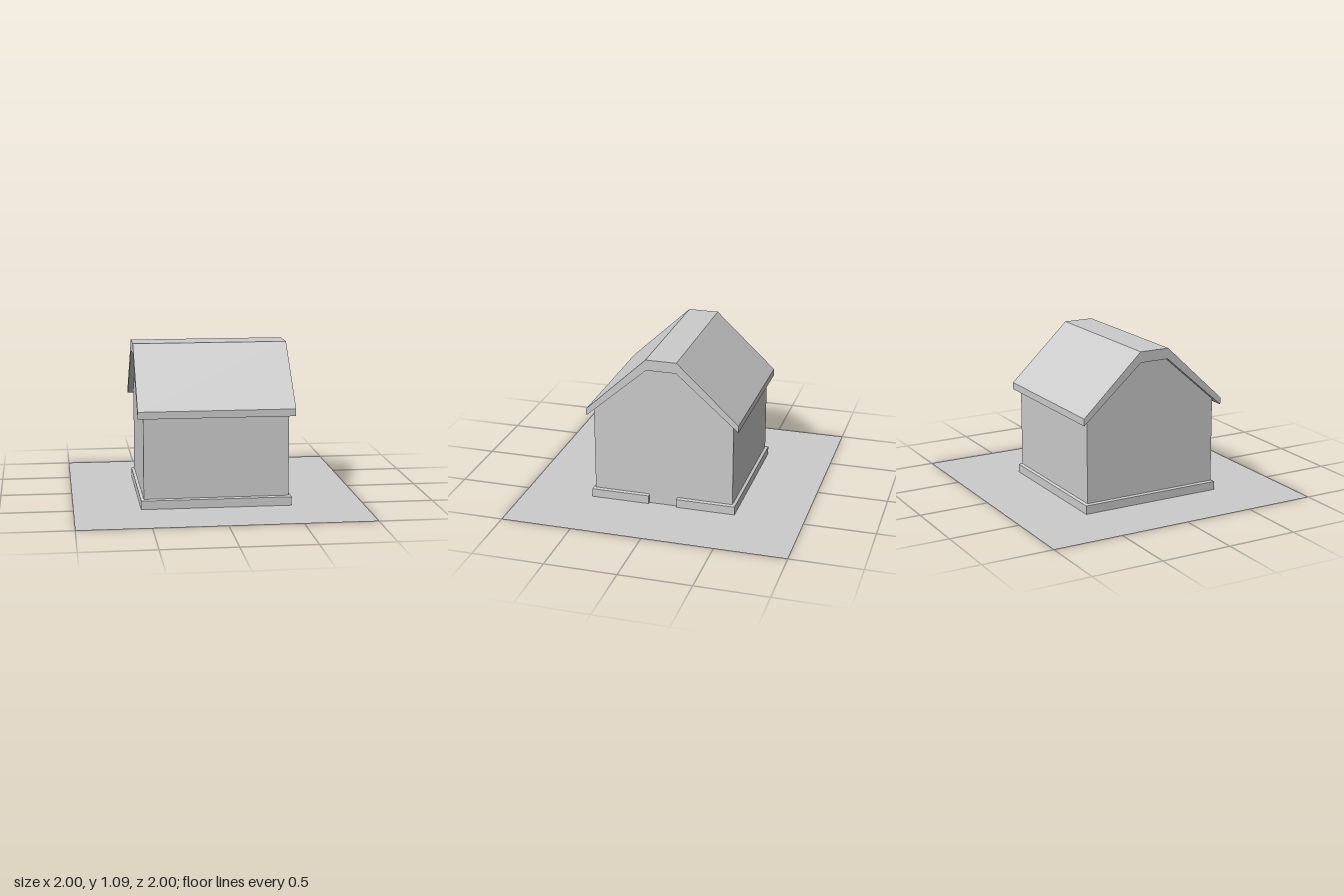
import * as THREE from 'three';

const material = new THREE.MeshStandardMaterial({ color: 0xcccccc, flatShading: true });

function addPart(group, name, geometry, mat = material) {
  const mesh = new THREE.Mesh(geometry, mat);
  mesh.name = name;
  group.add(mesh);
}

// Extrude a (z, y) profile along x from x0 to x1
function extrudeAlongX(points, x0, x1) {
  const shape = new THREE.Shape(points.map(([z, y]) => new THREE.Vector2(z, y)));
  const geometry = new THREE.ExtrudeGeometry(shape, { depth: x1 - x0, bevelEnabled: false });
  return geometry.rotateY(Math.PI / 2).translate(x0, 0, 0);
}

// Mirror one half of a profile across z = 0
const mirrored = (half) => [...half, ...half.map(([z, y]) => [-z, y]).reverse()];

// Footing strip around the walls, open at the doorway on the +x side
function footingGeometry() {
  const path = (x0, x1, z, gap) =>
    [[x1, gap], [x1, z], [x0, z], [x0, -z], [x1, -z], [x1, -gap]];
  const outer = path(-0.54, 0.5, 0.517, 0.102);
  const inner = path(-0.52, 0.48, 0.497, 0.102);
  // Cross-section: outer bottom, outer top, sloped up to the wall, inner bottom
  const sections = outer.map(([x, z], i) => {
    const [u, w] = inner[i];
    return [[x, 0, z], [x, 0.06, z], [u, 0.067, w], [u, 0, w]];
  });
  const positions = [];
  const quad = (a, b, c, d) => positions.push(...a, ...b, ...c, ...a, ...c, ...d);
  for (let i = 0; i < sections.length - 1; i++) {
    const a = sections[i], b = sections[i + 1];
    for (let k = 0; k < 2; k++) quad(a[k], a[k + 1], b[k + 1], b[k]);
  }
  quad(...[...sections[0]].reverse());
  quad(...sections[sections.length - 1]);
  const geometry = new THREE.BufferGeometry();
  geometry.setAttribute('position', new THREE.Float32BufferAttribute(positions, 3));
  geometry.computeVertexNormals();
  return geometry;
}

export function createModel() {
  const group = new THREE.Group();
  group.name = 'house';

  // Flat ground sheet, seen from both sides
  const sheet = material.clone();
  sheet.side = THREE.DoubleSide;
  addPart(group, 'groundSheet', new THREE.PlaneGeometry(2, 2).rotateX(-Math.PI / 2), sheet);

  addPart(group, 'footing', footingGeometry());

  // Walls with clipped gables
  const wallHalf = [[0.497, 0], [0.497, 0.667], [0.105, 1.01]];
  addPart(group, 'walls', extrudeAlongX(mirrored(wallHalf), -0.52, 0.48));

  // Roof shell with flat ridge and overhanging eaves
  const top = mirrored([[0.54, 0.68], [0.108, 1.085]]);
  const underside = mirrored([[0.54, 0.63], [0.105, 1.01]]).reverse();
  addPart(group, 'roof', extrudeAlongX([...top, ...underside], -0.56, 0.52));

  return group;
}
